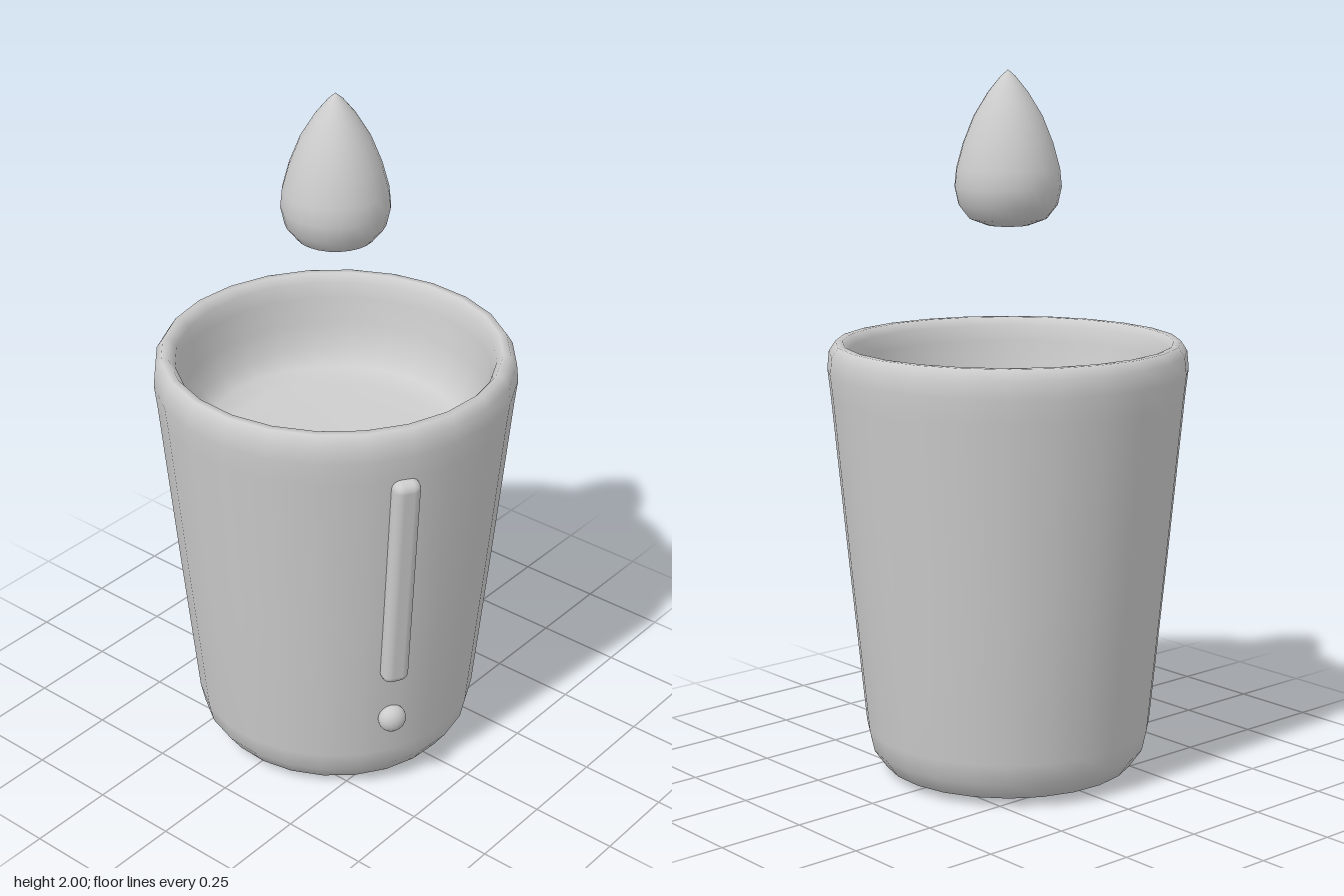
import * as THREE from 'three';
import { RoundedBoxGeometry } from 'three/addons/geometries/RoundedBoxGeometry.js';

const grey = new THREE.MeshStandardMaterial({ color: 0xcccccc });
grey.name = 'light grey';

function part(name, geometry, parent) {
  const mesh = new THREE.Mesh(geometry, grey);
  mesh.name = name;
  parent.add(mesh);
  return mesh;
}

function lathe(profile, segments) {
  return new THREE.LatheGeometry(profile.map(([r, y]) => new THREE.Vector2(r, y)), segments);
}

export function createModel() {
  const model = new THREE.Group();
  model.name = 'cupWithDrop';

  // Tapered cup: underside, outer wall, rounded rim, inner wall and filled floor
  const cup = part('cup', lathe([
    [0, 0.015], [0.27, 0.005], [0.36, 0.03], [0.395, 0.08], [0.408, 0.14],
    [0.455, 0.62], [0.5, 1.1], [0.508, 1.17], [0.503, 1.22], [0.485, 1.248],
    [0.465, 1.248], [0.447, 1.225], [0.438, 1.18], [0.425, 1.1],
    [0.405, 1.03], [0.37, 0.985], [0.3, 0.965], [0, 0.96],
  ], 24), model);
  cup.rotation.y = 0.07;

  // Floating drop above the cup
  part('drop', lathe([
    [0, 1.57], [0.06, 1.574], [0.108, 1.592], [0.138, 1.63], [0.149, 1.68],
    [0.144, 1.73], [0.125, 1.8], [0.095, 1.875], [0.055, 1.94], [0.02, 1.983], [0, 2],
  ], 24), model);

  // Raised level bar and dot on the front of the cup, following the wall slope
  const gauge = new THREE.Group();
  gauge.name = 'levelGauge';
  gauge.rotation.y = -0.495;
  model.add(gauge);

  const bar = part('levelBar', new RoundedBoxGeometry(0.078, 0.69, 0.07, 3, 0.026), gauge);
  bar.position.set(0, 0.758, 0.464);
  bar.rotation.x = 0.094;

  const dot = part('levelDot', new THREE.SphereGeometry(0.041, 16, 12), gauge);
  dot.position.set(0, 0.27, 0.43);
  dot.scale.z = 0.8;
  return model;
}
